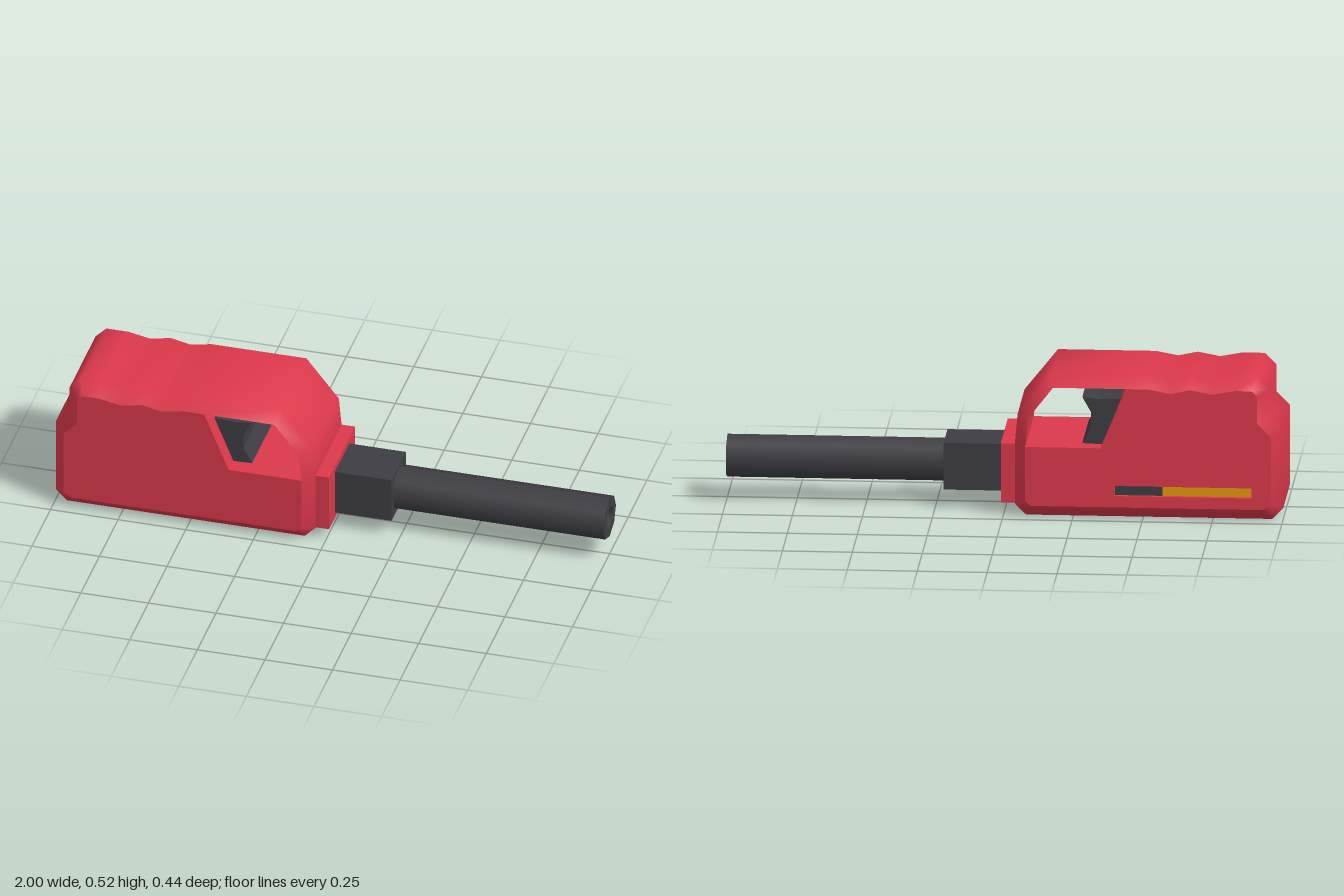
import * as THREE from 'three';

const mat = (name, color) => {
  const m = new THREE.MeshStandardMaterial({ color, side: THREE.DoubleSide });
  m.name = name;
  return m;
};

// outer silhouette and the matching inset outline of the side faces, counterclockwise
const OUTER = [[-.96, 0], [-.08, 0], [-.04, .04], [-.04, .26], [-.05, .37], [-.17, .52], [-.44, .52], [-.52, .52],
  [-.6, .505], [-.67, .52], [-.75, .505], [-.83, .52], [-.91, .52], [-.95, .48], [-.95, .38], [-1, .33], [-1, .04]];
const INSET = [[-.93, .043], [-.1, .043], [-.08, .06], [-.08, .26], [-.09, .365], [-.18, .48], [-.44, .48], [-.52, .48],
  [-.6, .465], [-.67, .48], [-.75, .465], [-.83, .48], [-.89, .48], [-.91, .46], [-.91, .36], [-.96, .31], [-.96, .06]];
const HALF = 0.218, EDGE = 0.175;

const toVectors = pts => pts.map(([x, y]) => new THREE.Vector2(x, y));

// skin closed xy loops placed at successive z values
function loft(rings, flat = false) {
  const n = rings[0].pts.length, pos = [], index = [];
  rings.forEach(({ pts, z }) => pts.forEach(([x, y]) => pos.push(x, y, z)));
  for (let k = 0; k < rings.length - 1; k++) {
    for (let i = 0; i < n; i++) {
      const a = k * n + i, b = k * n + (i + 1) % n;
      index.push(a, b, b + n, a, b + n, a + n);
    }
  }
  let g = new THREE.BufferGeometry();
  g.setAttribute('position', new THREE.Float32BufferAttribute(pos, 3));
  g.setIndex(index);
  if (flat) g = g.toNonIndexed();
  g.computeVertexNormals();
  return g;
}

const rect = (x0, x1, y0, y1) => [[x0, y0], [x1, y0], [x1, y1], [x0, y1]];

// flat plate facing -z
function backFace(shape, z) {
  const g = new THREE.ShapeGeometry(shape);
  g.setIndex([...g.index.array].reverse());
  g.computeVertexNormals();
  return g.translate(0, 0, z);
}

export function createModel() {
  const model = new THREE.Group();
  model.name = 'utilityLighter';
  const red = mat('red plastic', 0xdb384b);
  const charcoal = mat('charcoal', 0x3d3d43);
  const black = mat('bore black', 0x0c0c0d);
  const amber = mat('amber fuel', 0xe8960f);

  const add = (name, geometry, material, parent = model) => {
    const m = new THREE.Mesh(geometry, material);
    m.name = name;
    parent.add(m);
    return m;
  };

  // handle shell with chamfered sides
  const handle = new THREE.Group();
  handle.name = 'handle';
  model.add(handle);
  add('handleShell', loft([
    { pts: INSET, z: -HALF }, { pts: OUTER, z: -EDGE },
    { pts: OUTER, z: EDGE }, { pts: INSET, z: HALF },
  ]), red, handle);

  // side faces, cut away around the finger opening
  const side = [...INSET.slice(0, 4), [-.35, .26], ...INSET.slice(6)];
  const slot = rect(-.89, -.40, .085, .122);
  add('frontSide', new THREE.ShapeGeometry(new THREE.Shape(toVectors(side))).translate(0, 0, HALF), red, handle);
  const backShape = new THREE.Shape(toVectors(side));
  backShape.holes.push(new THREE.Path(toVectors([...slot].reverse())));
  add('backSide', backFace(backShape, -HALF), red, handle);

  // walls of the finger opening
  const opening = [...INSET.slice(3, 7), [-.35, .26]].reverse();
  add('fingerOpening', loft([{ pts: opening, z: -HALF }, { pts: opening, z: HALF }], true), red, handle);

  // recessed fuel window on the back side
  const floorZ = -HALF + 0.015;
  const rim = [...slot].reverse();
  add('windowRim', loft([{ pts: rim, z: -HALF }, { pts: rim, z: floorZ }], true), red, handle);
  const strip = (x0, x1) => backFace(new THREE.Shape(toVectors(rect(x0, x1, .085, .122))), floorZ);
  add('fuelLevel', strip(-.89, -.57), amber, handle);
  add('emptyWindow', strip(-.57, -.40), charcoal, handle);

  // trigger with a concave front
  const trigger = new THREE.Shape(toVectors([[-.36, .255], [-.28, .262], [-.312, .32], [-.312, .375],
    [-.28, .432], [-.335, .425], [-.43, .43]]));
  add('trigger', new THREE.ExtrudeGeometry(trigger, { depth: .31, bevelEnabled: false }).translate(0, 0, -.155), charcoal);

  // collar and barrel mount
  add('collar', new THREE.BoxGeometry(.06, .218, .35).translate(-.02, .152, 0), red);
  add('barrelMount', new THREE.BoxGeometry(.22, .172, .194).translate(.11, .152, 0), charcoal);

  // hollow eight-sided barrel
  const barrel = new THREE.Group();
  barrel.name = 'barrel';
  barrel.position.set(0, .153, 0);
  barrel.scale.z = 1.07;
  model.add(barrel);
  const tube = (r, x0, x1) => new THREE.CylinderGeometry(r, r, x1 - x0, 8, 1, true)
    .rotateZ(-Math.PI / 2).translate((x0 + x1) / 2, 0, 0);
  add('barrelTube', tube(.079, .2, 1), charcoal, barrel);
  add('bore', tube(.043, .8, 1), charcoal, barrel);
  add('muzzle', new THREE.RingGeometry(.043, .079, 8).rotateY(Math.PI / 2).translate(1, 0, 0), charcoal, barrel);
  add('boreEnd', new THREE.CircleGeometry(.043, 8).rotateY(Math.PI / 2).translate(.8, 0, 0), black, barrel);

  return model;
}
